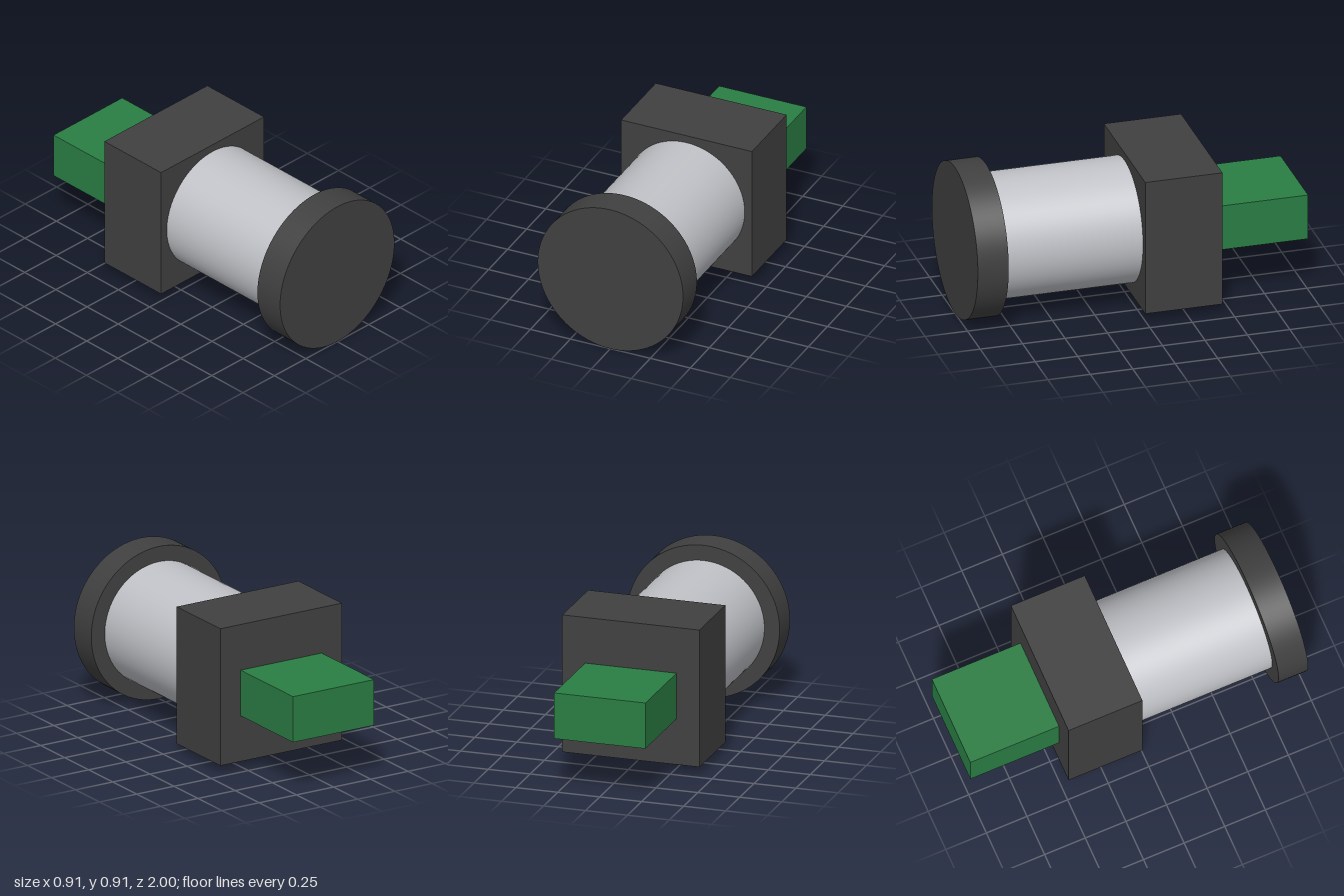
import * as THREE from 'three';

const U = 1 / 11;        // base unit: overall length is 22 units
const AXIS_Y = 5 * U;    // height of the common axis

export function createModel() {
  const group = new THREE.Group();
  const dark = new THREE.MeshStandardMaterial({ color: 0x404040 });
  const metal = new THREE.MeshStandardMaterial({ color: 0xc0c2c7 });
  const green = new THREE.MeshStandardMaterial({ color: 0x2a7d43 });

  // Place a part on the axis, centred between its two z limits
  const add = (name, geometry, material, z0, z1) => {
    const mesh = new THREE.Mesh(geometry, material);
    mesh.name = name;
    mesh.position.set(0, AXIS_Y, (z0 + z1) * U / 2);
    group.add(mesh);
  };
  const barrel = (name, radius, z0, z1, material) => add(name,
    new THREE.CylinderGeometry(radius * U, radius * U, (z1 - z0) * U, 96).rotateX(Math.PI / 2),
    material, z0, z1);
  const block = (name, width, height, z0, z1, material) => add(name,
    new THREE.BoxGeometry(width * U, height * U, (z1 - z0) * U), material, z0, z1);

  barrel('frontCap', 5, 9, 11, dark);
  barrel('cylinderBody', 4, 0, 9, metal);
  block('rearHousing', 9, 9, -5, 0, dark);
  block('connector', 6, 3, -11, -5, green);

  return group;
}
